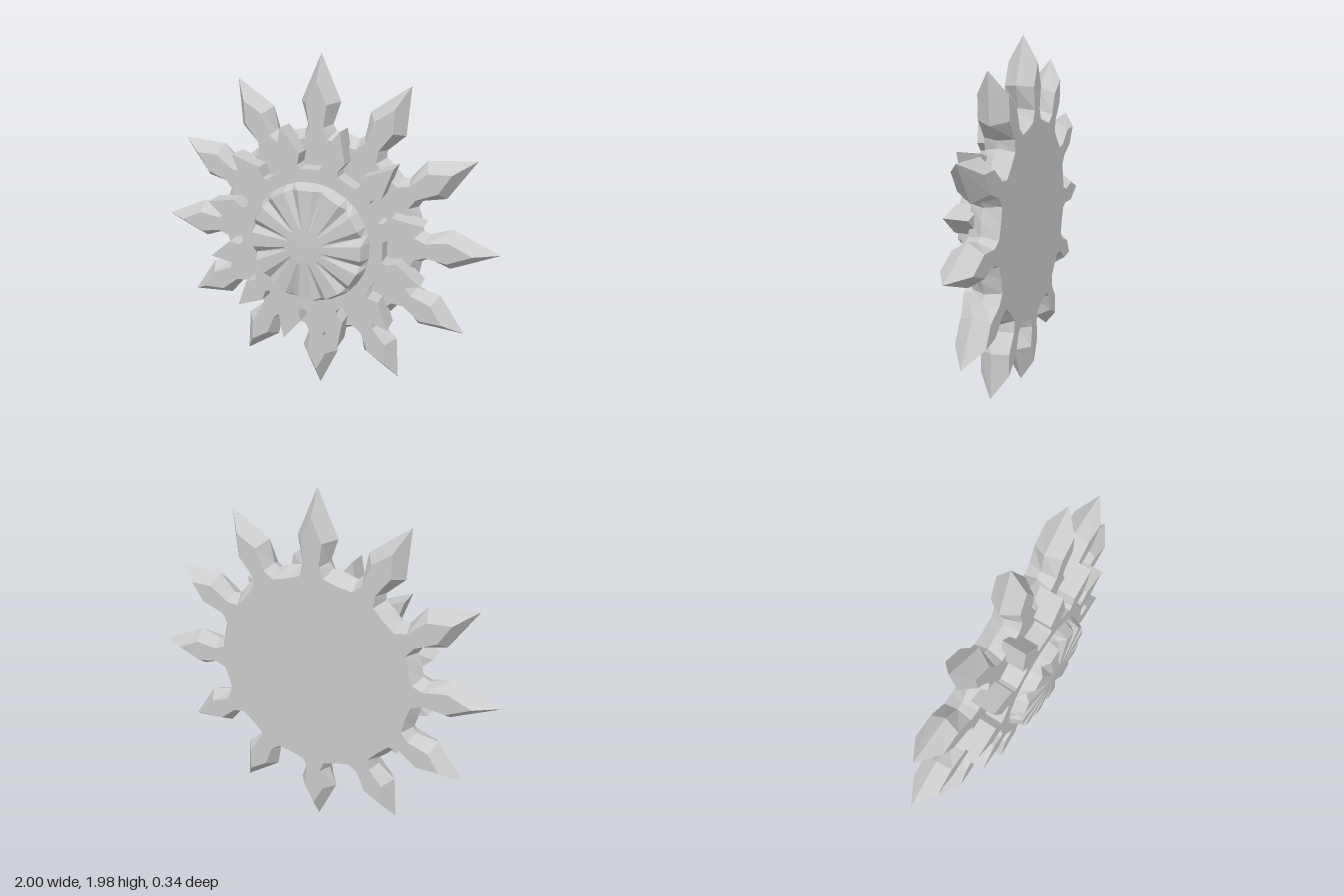
import * as THREE from 'three';

const N = 12;
const material = new THREE.MeshStandardMaterial({ color: 0xcccccc, flatShading: true });

// Repeats half a spike [x across, r along] around the circle; the last point is mid-gap
function starOutline(half, offset, tipScale = () => 1) {
  const points = [];
  for (let k = 0; k < N; k++) {
    const a = offset + k * Math.PI * 2 / N;
    const mirrored = half.slice(1, -1).reverse().map(([x, r]) => [-x, r]);
    const spike = [...mirrored, ...half];
    spike.forEach(([x, r], i) => {
      if (i === mirrored.length) r *= tipScale(k);
      points.push(new THREE.Vector2(
        x * Math.cos(a) + r * Math.sin(a), r * Math.cos(a) - x * Math.sin(a)));
    });
  }
  return points;
}

function flat(positions) {
  const g = new THREE.BufferGeometry();
  g.setAttribute('position', new THREE.Float32BufferAttribute(positions, 3));
  g.computeVertexNormals();
  return g;
}

function addMesh(group, name, geometry) {
  const mesh = new THREE.Mesh(geometry, material);
  mesh.name = name;
  group.add(mesh);
}

// Large star: a wide outline at mid depth, bevelled to a smaller flat face front and back
function bevelledStar(mid, face, zBack, zFront) {
  const out = [];
  const zMid = (zBack + zFront) / 2;
  const put = (p, z) => out.push(p.x, p.y, z);
  const n = mid.length;
  for (let i = 0; i < n; i++) {
    const j = (i + 1) % n;
    // outlines run clockwise seen from the front
    put(face[i], zFront); put(face[j], zFront); put(mid[j], zMid);
    put(face[i], zFront); put(mid[j], zMid); put(mid[i], zMid);
    put(mid[i], zMid); put(mid[j], zMid); put(face[j], zBack);
    put(mid[i], zMid); put(face[j], zBack); put(face[i], zBack);
  }
  const ccw = face.slice().reverse();
  for (const [a, b, c] of THREE.ShapeUtils.triangulateShape(ccw, [])) {
    put(ccw[a], zFront); put(ccw[b], zFront); put(ccw[c], zFront);
    put(ccw[c], zBack); put(ccw[b], zBack); put(ccw[a], zBack);
  }
  return flat(out);
}

// Round boss: flat ribs with V grooves that deepen toward a scalloped rim
function flutedBoss() {
  const out = [];
  const rings = [[], [], [], []];
  const rib = THREE.MathUtils.degToRad(7.5);
  for (let k = 0; k < N; k++) {
    const a = k * Math.PI * 2 / N;
    for (const [da, groove] of [[-rib, 0], [rib, 0], [Math.PI / N, 1]]) {
      const at = (r, z) => [r * Math.cos(a + da), r * Math.sin(a + da), z];
      rings[0].push([0, 0, 0.17]);
      rings[1].push(at(0.1, 0.168));
      rings[2].push(at(0.315, groove ? 0.125 : 0.158));
      rings[3].push(at(0.345, 0.085));
    }
  }
  const n = rings[0].length;
  for (let s = 0; s < 3; s++) {
    for (let i = 0; i < n; i++) {
      const j = (i + 1) % n;
      const a = rings[s][i], b = rings[s + 1][i], c = rings[s + 1][j], d = rings[s][j];
      out.push(...a, ...b, ...c);
      if (s > 0) out.push(...a, ...c, ...d);
    }
  }
  return flat(out);
}

export function createModel() {
  const group = new THREE.Group();
  group.name = 'starMedallion';
  const star = new THREE.Group();
  star.name = 'starBody';
  star.position.y = 1;
  group.add(star);

  // Back star with twelve bevelled spikes on narrow necks
  const tipScale = k => (k % 6 === 3 ? 1 : k % 3 === 0 ? 0.99 : 0.975);
  const mid = starOutline(
    [[0, 1], [0.112, 0.745], [0.07, 0.625], [0.088, 0.592], [0.155, 0.58]], 0, tipScale);
  const face = starOutline(
    [[0, 0.865], [0.058, 0.735], [0.04, 0.615], [0.065, 0.555], [0.142, 0.53]], 0, tipScale);
  addMesh(star, 'backStar', bevelledStar(mid, face, -0.17, -0.01));

  // Smaller straight-sided star set between the large spikes
  const small = starOutline(
    [[0, 0.643], [0.072, 0.49], [0.045, 0.435], [0.055, 0.412], [0.106, 0.397]], Math.PI / N);
  const frontGeometry = new THREE.ExtrudeGeometry(new THREE.Shape(small),
    { depth: 0.13, bevelEnabled: false });
  frontGeometry.translate(0, 0, -0.04);
  addMesh(star, 'frontStar', frontGeometry);

  // Central boss
  addMesh(star, 'flutedBoss', flutedBoss());
  return group;
}
